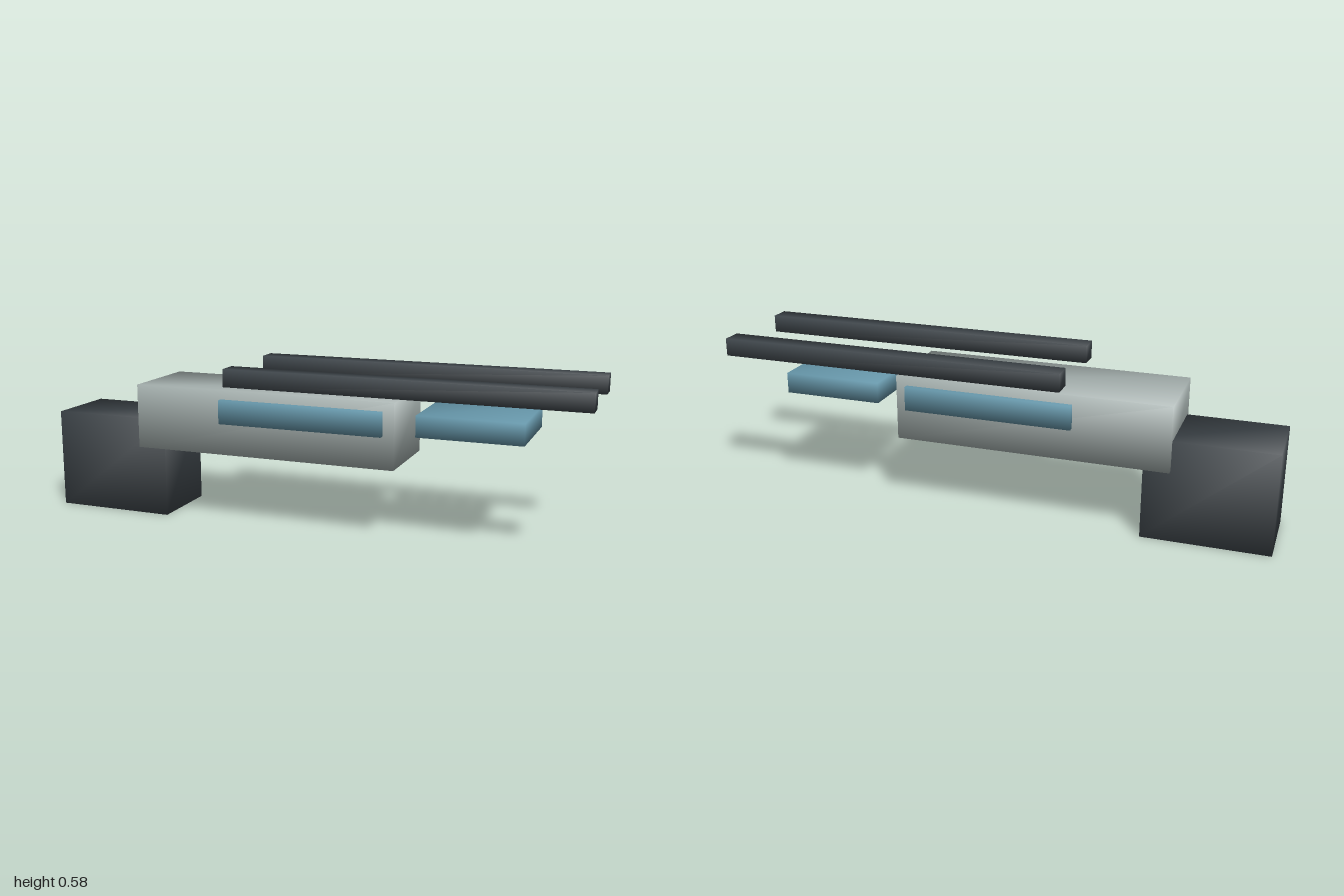
import * as THREE from 'three';
import { mergeVertices } from 'three/addons/utils/BufferGeometryUtils.js';

const material = (color) => new THREE.MeshStandardMaterial({ color });

// Box given by its min/max extents, with corners shared so it shades softly
function softBox(name, [x0, x1], [y0, y1], [z0, z1], mat) {
  let geo = new THREE.BoxGeometry(x1 - x0, y1 - y0, z1 - z0);
  geo.deleteAttribute('normal');
  geo.deleteAttribute('uv');
  geo = mergeVertices(geo);
  geo.computeVertexNormals();
  const mesh = new THREE.Mesh(geo, mat);
  mesh.name = name;
  mesh.position.set((x0 + x1) / 2, (y0 + y1) / 2, (z0 + z1) / 2);
  return mesh;
}

export function createModel() {
  const model = new THREE.Group();
  model.name = 'model';
  const dark = material(0x3c4348);
  const grey = material(0xa3aeac);
  const blue = material(0x6595a8);

  // Rear block hanging below the body
  model.add(softBox('rearBlock', [-1, -0.55], [0, 0.365], [-0.14, 0.14], dark));

  // Main body
  model.add(softBox('body', [-0.645, 0.342], [0.26, 0.495], [-0.162, 0.162], grey));

  // Band crossing the body and showing on both sides
  model.add(softBox('sideBand', [-0.305, 0.302], [0.377, 0.463], [-0.183, 0.183], blue));

  // Separate plate ahead of the body
  model.add(softBox('frontPlate', [0.417, 0.782], [0.383, 0.458], [-0.162, 0.162], blue));

  // Pair of long rails above
  for (const [name, z] of [['frontRail', 0.172], ['backRail', -0.172]]) {
    model.add(softBox(name, [-0.272, 1], [0.517, 0.581], [z - 0.037, z + 0.037], dark));
  }

  return model;
}
